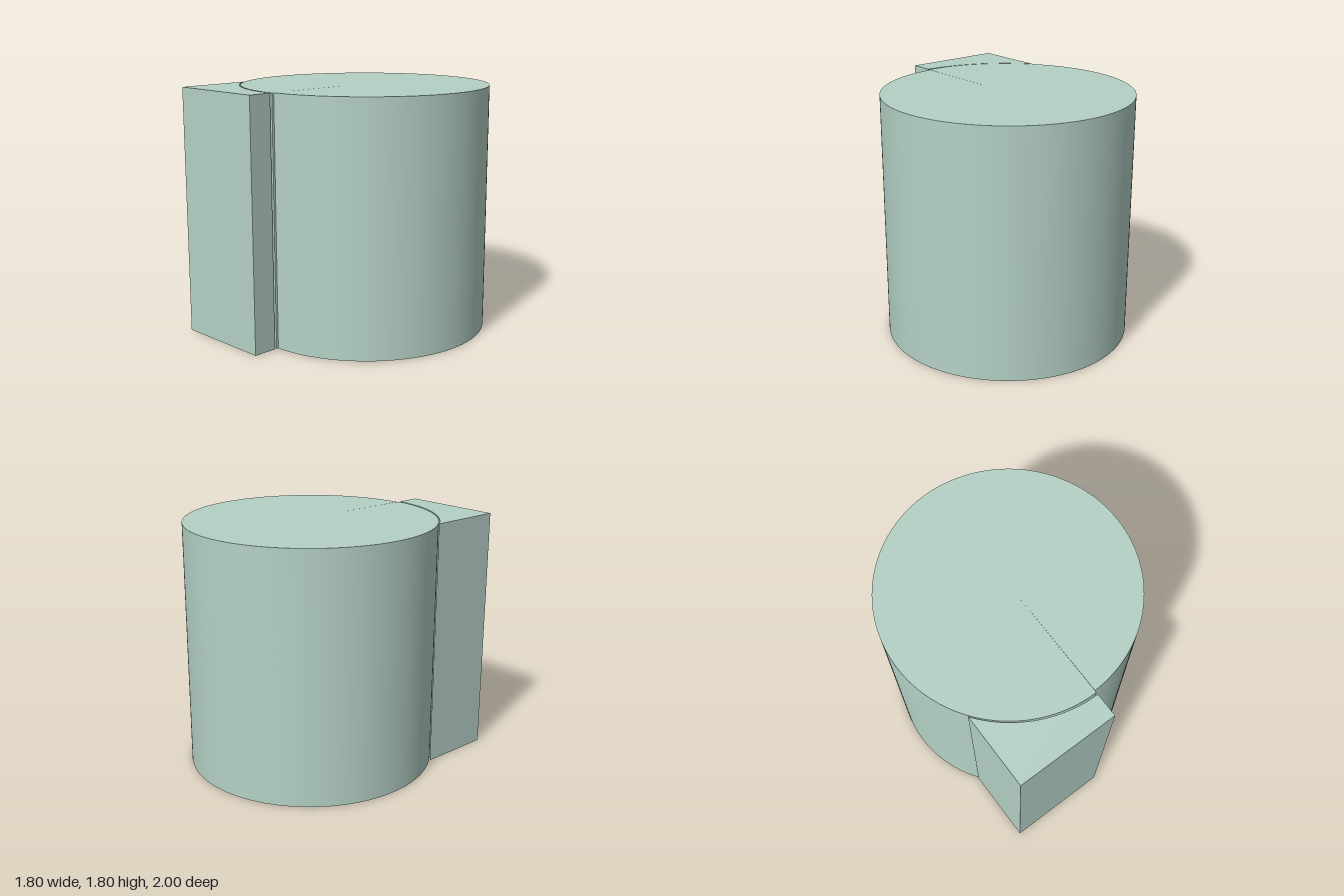
import * as THREE from 'three';
import { toCreasedNormals } from 'three/addons/utils/BufferGeometryUtils.js';

const HEIGHT = 1.8;
const SLIT_X = 0.0185;

// Plan outlines are drawn in (x, -z) and raised along y.
function raise(name, shape, material) {
  const geometry = new THREE.ExtrudeGeometry(shape, { depth: HEIGHT, bevelEnabled: false, curveSegments: 96 });
  geometry.rotateX(-Math.PI / 2);
  const mesh = new THREE.Mesh(toCreasedNormals(geometry, 0.5), material);
  mesh.name = name;
  return mesh;
}

export function createModel() {
  const group = new THREE.Group();
  group.name = 'splitDrumWithBlock';
  const material = new THREE.MeshStandardMaterial({ color: 0xb5d1c6 });

  // Drum: two nearly equal half rounds with a step at a hairline radial slit
  const drum = new THREE.Shape();
  const rightR = 0.8975, leftR = 0.905, leftX = 0.006;
  const startAngle = -Math.PI / 2 + Math.asin((SLIT_X + 0.002) / rightR);
  const endAngle = 1.5 * Math.PI + Math.asin((SLIT_X - leftX) / leftR);
  drum.absarc(0, 0.1025, rightR, startAngle, Math.PI / 2, false);
  drum.absarc(leftX, 0.095, leftR, Math.PI / 2, endAngle, false);
  drum.lineTo(SLIT_X, 0.1);
  drum.closePath();
  group.add(raise('drum', drum, material));

  // Corner block: hollowed to follow the drum, leaving a narrow gap
  const block = new THREE.Shape();
  const gapR = 0.925, blockLeft = -0.725;
  const leftAngle = 1.5 * Math.PI - Math.asin((SLIT_X - blockLeft) / gapR);
  block.moveTo(blockLeft, -1);
  block.lineTo(SLIT_X, -1);
  block.absarc(SLIT_X, 0.1, gapR, 1.5 * Math.PI, leftAngle, true);
  block.closePath();
  group.add(raise('cornerBlock', block, material));

  return group;
}
